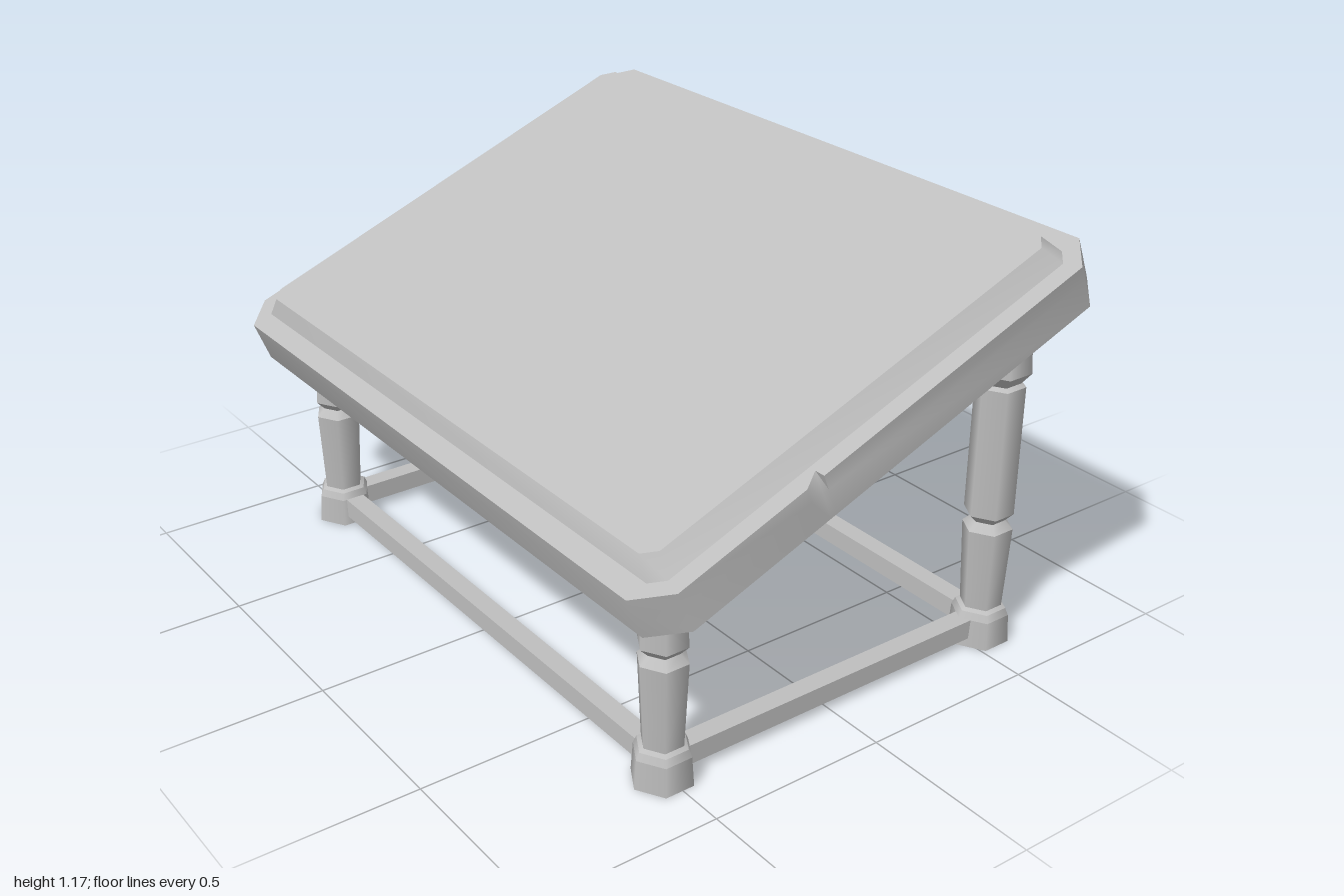
import * as THREE from 'three';
import { mergeGeometries, toCreasedNormals } from 'three/addons/utils/BufferGeometryUtils.js';

const grey = new THREE.MeshStandardMaterial({ color: 0xbfbfbf });
grey.name = 'plain grey';

function addMesh(parent, name, geometry) {
  const mesh = new THREE.Mesh(geometry, grey);
  mesh.name = name;
  parent.add(mesh);
  return mesh;
}

// Rectangle with clipped corners, counter-clockwise; extra points go on the +x edge
function clippedRectangle(hx, hy, c, extra = []) {
  return new THREE.Shape([
    [hx, -hy + c], ...extra, [hx, hy - c], [hx - c, hy], [-hx + c, hy],
    [-hx, hy - c], [-hx, -hy + c], [-hx + c, -hy], [hx - c, -hy],
  ].map(([x, y]) => new THREE.Vector2(x, y)));
}

// Thick board with a small chip knocked out of its +x top edge
function boardGeometry() {
  const chip = [[1, -0.26], [0.97, -0.208], [1, -0.208]];
  const geo = new THREE.ExtrudeGeometry(clippedRectangle(1, 0.725, 0.083, chip),
    { depth: 0.12, steps: 2, bevelEnabled: false });
  geo.translate(0, 0, -0.06);
  const p = geo.attributes.position;
  for (let i = 0; i < p.count; i++) {
    if (p.getZ(i) > 0.05) continue;
    // the chip closes to a point at the middle level
    if (Math.abs(p.getX(i) - 0.97) < 0.001 && Math.abs(p.getY(i) + 0.208) < 0.001) {
      p.setX(i, 1);
      p.setY(i, -0.225);
    }
    if (Math.abs(p.getZ(i)) < 0.001) p.setZ(i, 0.018);
  }
  return toCreasedNormals(geo, 0.87);
}

// Raised panel with sloping sides
function panelGeometry() {
  const geo = new THREE.ExtrudeGeometry(clippedRectangle(0.95, 0.665, 0.035),
    { depth: 0.051, bevelEnabled: false });
  const p = geo.attributes.position;
  for (let i = 0; i < p.count; i++) {
    if (p.getZ(i) > 0.01) p.setXY(i, p.getX(i) * 0.963, p.getY(i) * 0.962);
  }
  geo.translate(0, 0, 0.06);
  return toCreasedNormals(geo, 0.87);
}

// Six-sided turned leg: one ring per profile step, sharp between the steps
function legGeometry(profile) {
  const parts = [];
  for (let i = 1; i < profile.length; i++) {
    const [r0, y0] = profile[i - 1];
    const [r1, y1] = profile[i];
    const ring = new THREE.CylinderGeometry(r1, r0, y1 - y0, 6, 1, true);
    ring.translate(0, (y0 + y1) / 2, 0);
    parts.push(ring);
  }
  const foot = new THREE.CircleGeometry(profile[0][0], 6);
  foot.rotateZ(Math.PI / 2);
  foot.rotateX(Math.PI / 2);
  parts.push(foot);
  return mergeGeometries(parts);
}

export function createModel() {
  const model = new THREE.Group();
  model.name = 'slantedDesk';

  // Tilted top
  const top = new THREE.Group();
  top.name = 'tiltedTop';
  top.position.y = 0.832;
  top.rotation.x = -Math.PI / 2 + Math.atan2(0.53, 1.35);
  model.add(top);
  addMesh(top, 'board', boardGeometry());
  addMesh(top, 'raisedPanel', panelGeometry());

  // Legs
  const lower = [[0.083, 0], [0.077, 0.08], [0.068, 0.1], [0.056, 0.107],
    [0.067, 0.34], [0.044, 0.362], [0.066, 0.385]];
  const frontLeg = legGeometry([...lower, [0.056, 0.61]]);
  const backLeg = legGeometry([...lower, [0.066, 0.75], [0.052, 0.758],
    [0.078, 0.79], [0.058, 1.03]]);
  const frontZ = 0.508, backZ = -0.552, legX = 0.8;
  for (const side of [1, -1]) {
    const label = side > 0 ? 'Left' : 'Right';
    addMesh(model, 'front' + label + 'Leg', frontLeg).position.set(side * legX, 0, frontZ);
    addMesh(model, 'back' + label + 'Leg', backLeg).position.set(side * legX, 0, backZ);
    // Side stretcher
    addMesh(model, 'side' + label + 'Stretcher', new THREE.BoxGeometry(0.055, 0.055, frontZ - backZ))
      .position.set(side * legX, 0.053, (frontZ + backZ) / 2);
  }

  // Front and back stretchers
  for (const [name, z] of [['frontStretcher', frontZ], ['backStretcher', backZ]]) {
    addMesh(model, name, new THREE.BoxGeometry(2 * legX, 0.055, 0.055)).position.set(0, 0.053, z);
  }
  return model;
}
